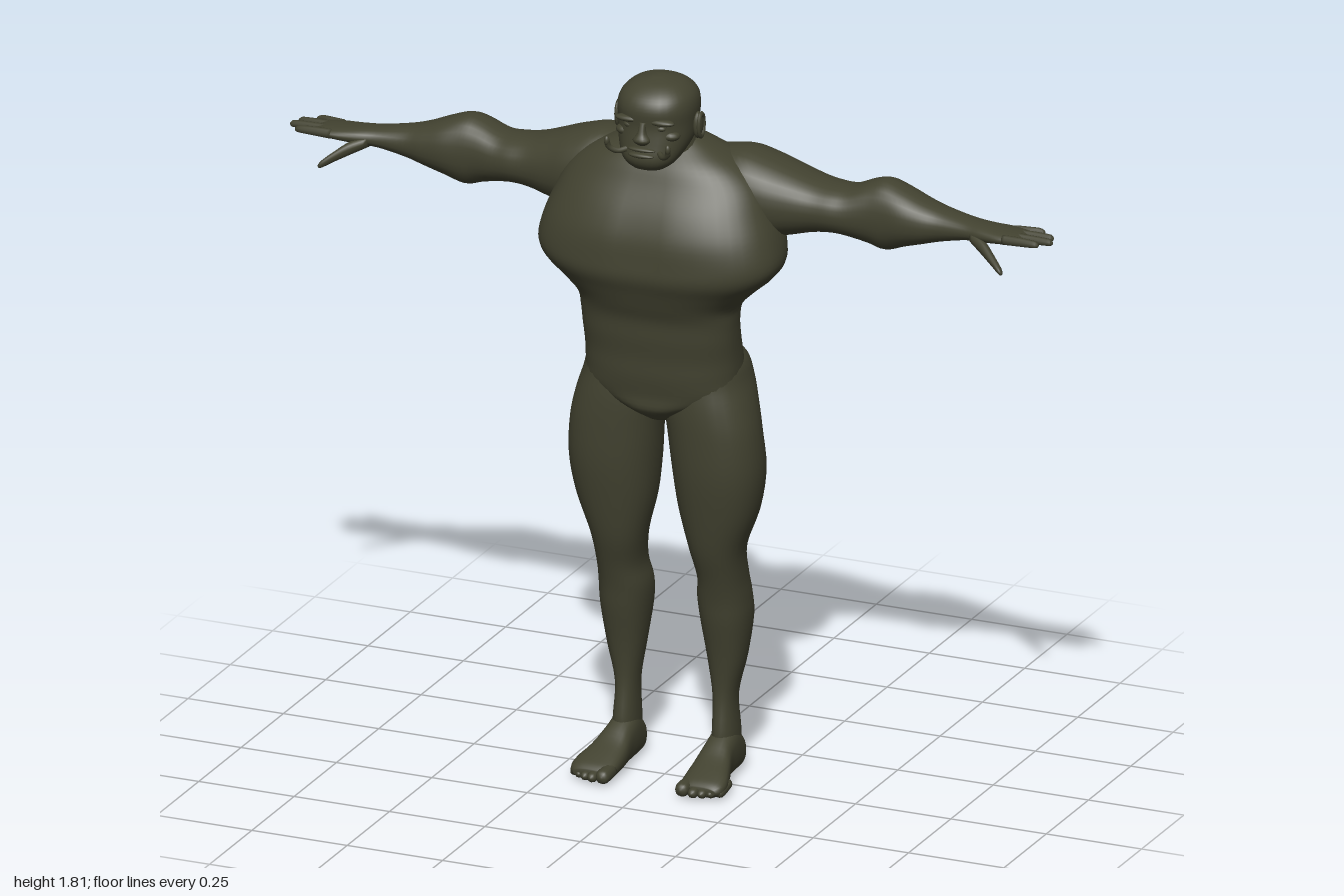
import * as THREE from 'three';

const skin = new THREE.MeshStandardMaterial({ color: 0x424230 });
skin.name = 'dark olive skin';

// Where each loft's (along, a, b) goes; a x b always points along the loft.
const UP = (t, a, b) => [b, t, a];      // along y, a = z, b = x
const SIDE = (t, a, b) => [t, a, b];    // along x, a = y, b = z
const FORWARD = (t, a, b) => [a, b, t]; // along z, a = x, b = y

// Smooth skin through sections [along, aMin, aMax, bMin, bMax].
function loft(sections, place, { seg = 24, steps = 4, power = 0.9, rule } = {}) {
  const at = i => sections[Math.max(0, Math.min(sections.length - 1, i))];
  const rings = [];
  for (let i = 0; i < sections.length - 1; i++) {
    for (let s = 0; s < steps; s++) {
      const u = s / steps;
      rings.push(at(i).map((p, k) => {
        const p0 = at(i - 1)[k], p2 = at(i + 1)[k], p3 = at(i + 2)[k];
        return p + 0.5 * u * (p2 - p0 + u * (2 * p0 - 5 * p + 4 * p2 - p3 + u * (3 * (p - p2) + p3 - p0)));
      }));
    }
  }
  rings.push(at(sections.length));
  const pos = [], index = [];
  const put = (t, a, b) => {
    const p = place(t, a, b);
    if (rule) rule(p);
    pos.push(...p);
  };
  const bend = v => Math.sign(v) * Math.abs(v) ** power;
  for (const [t, a0, a1, b0, b1] of rings) {
    for (let j = 0; j < seg; j++) {
      const w = (j / seg) * Math.PI * 2;
      put(t, (a0 + a1) / 2 + (a1 - a0) / 2 * bend(Math.cos(w)), (b0 + b1) / 2 + (b1 - b0) / 2 * bend(Math.sin(w)));
    }
  }
  const last = (rings.length - 1) * seg, c = rings.length * seg;
  for (let j = 0; j < seg; j++) {
    const k = (j + 1) % seg;
    for (let i = 0; i < last; i += seg) index.push(i + j, i + k, i + seg + k, i + j, i + seg + k, i + seg + j);
    index.push(c, k, j, c + 1, last + j, last + k);
  }
  for (const [t, a0, a1, b0, b1] of [rings[0], rings[rings.length - 1]]) put(t, (a0 + a1) / 2, (b0 + b1) / 2);
  const g = new THREE.BufferGeometry();
  g.setAttribute('position', new THREE.Float32BufferAttribute(pos, 3));
  g.setIndex(index);
  g.computeVertexNormals();
  return g;
}

// Section given by centre and radii.
const round = (t, a, b, ra, rb = ra) => [t, a - ra, a + ra, b - rb, b + rb];

function ellipsoid(x, y, z, rx, ry, rz) {
  return new THREE.SphereGeometry(1, 16, 12).scale(rx, ry, rz).translate(x, y, z);
}

function mirrored(geometry) {
  const g = geometry.clone().scale(-1, 1, 1), ix = g.index.array;
  for (let i = 0; i < ix.length; i += 3) [ix[i], ix[i + 1]] = [ix[i + 1], ix[i]];
  g.computeVertexNormals();
  return g;
}

export function createModel() {
  const model = new THREE.Group();
  model.name = 'muscular figure';
  const add = (name, g) => {
    const m = new THREE.Mesh(g, skin);
    m.name = name;
    model.add(m);
  };
  const pair = (name, g) => {
    add('left ' + name, g);
    add('right ' + name, mirrored(g));
  };

  // Torso, with a spine furrow and a shallow line between the chest muscles
  const torso = [
    [0.925, -0.02, 0.05, 0.03], [0.96, -0.08, 0.098, 0.09], [1.0, -0.112, 0.102, 0.19],
    [1.05, -0.118, 0.11, 0.197], [1.1, -0.108, 0.113, 0.197], [1.15, -0.088, 0.12, 0.198],
    [1.2, -0.075, 0.125, 0.2], [1.24, -0.09, 0.14, 0.207], [1.28, -0.105, 0.155, 0.245],
    [1.32, -0.122, 0.17, 0.29], [1.36, -0.145, 0.17, 0.312], [1.42, -0.165, 0.163, 0.302],
    [1.48, -0.172, 0.14, 0.28], [1.54, -0.155, 0.105, 0.25], [1.585, -0.135, 0.08, 0.2],
    [1.62, -0.105, 0.05, 0.13], [1.65, -0.07, 0.02, 0.07]
  ].map(([y, z0, z1, r]) => [y, z0, z1, -r, r]);
  add('torso', loft(torso, UP, {
    seg: 48, power: 0.82,
    rule: p => {
      const line = Math.exp(-((p[0] / 0.035) ** 2)), high = Math.exp(-(((p[1] - 1.42) / 0.12) ** 2));
      p[2] += p[2] < 0 ? line * (0.005 + 0.013 * high) : -0.006 * line * high;
    }
  }));

  // Neck and head
  add('neck', loft([
    [1.5, -0.13, 0.05, -0.12, 0.12], [1.58, -0.11, 0.06, -0.1, 0.1],
    [1.64, -0.06, 0.07, -0.082, 0.082], [1.7, -0.045, 0.06, -0.07, 0.07]
  ], UP));
  add('head', loft([
    [1.592, 0.06, 0.125, 0.04], [1.605, 0.03, 0.138, 0.06], [1.625, 0, 0.144, 0.075],
    [1.66, -0.045, 0.138, 0.09], [1.7, -0.063, 0.132, 0.095], [1.74, -0.069, 0.134, 0.097],
    [1.77, -0.06, 0.12, 0.087], [1.793, -0.03, 0.087, 0.058], [1.805, 0.015, 0.045, 0.012]
  ].map(([y, z0, z1, r]) => [y, z0, z1, -r, r]), UP, { seg: 32 }));
  add('nose', loft([
    round(1.66, 0.132, 0, 0.012, 0.012), round(1.672, 0.137, 0, 0.017, 0.022),
    round(1.69, 0.134, 0, 0.013, 0.011), round(1.715, 0.13, 0, 0.008, 0.008)
  ], UP, { seg: 14 }));
  add('upper lip', ellipsoid(0, 1.648, 0.137, 0.036, 0.006, 0.011));
  add('lower lip', ellipsoid(0, 1.634, 0.14, 0.034, 0.007, 0.012));
  pair('brow', ellipsoid(0.042, 1.717, 0.118, 0.036, 0.009, 0.016));
  pair('eye', ellipsoid(0.04, 1.701, 0.117, 0.015, 0.008, 0.01));
  pair('cheek', ellipsoid(0.058, 1.68, 0.098, 0.025, 0.014, 0.022));
  pair('ear', ellipsoid(0.1, 1.69, 0.028, 0.011, 0.034, 0.02).rotateX(0));
  pair('ear rim', new THREE.TorusGeometry(0.02, 0.005, 8, 20)
    .scale(0.8, 1.4, 1).rotateY(Math.PI / 2).translate(0.108, 1.69, 0.028));

  // Small curled tusks beside the mouth
  const tuskPath = new THREE.CatmullRomCurve3([
    [0.04, 1.642, 0.125], [0.06, 1.64, 0.147], [0.077, 1.652, 0.157], [0.08, 1.668, 0.163]
  ].map(p => new THREE.Vector3(...p)));
  pair('tusk', new THREE.TubeGeometry(tuskPath, 14, 0.007, 8));
  pair('tusk tip', ellipsoid(0.08, 1.668, 0.163, 0.007, 0.012, 0.007));

  // Arm from shoulder through palm
  pair('arm', loft([
    [0.08, 1.45, 1.6, -0.15, 0], [0.18, 1.41, 1.615, -0.175, 0.03], [0.25, 1.4, 1.6, -0.18, 0.03],
    [0.31, 1.41, 1.578, -0.176, 0.015], [0.37, 1.425, 1.557, -0.17, 0], [0.42, 1.43, 1.55, -0.165, -0.005],
    [0.46, 1.425, 1.552, -0.16, -0.012], [0.51, 1.413, 1.572, -0.16, -0.018], [0.55, 1.403, 1.58, -0.157, -0.018],
    [0.6, 1.42, 1.565, -0.152, -0.015], [0.65, 1.435, 1.545, -0.142, -0.02], [0.7, 1.45, 1.53, -0.13, -0.028],
    [0.77, 1.468, 1.52, -0.11, -0.025], [0.82, 1.475, 1.518, -0.1, -0.012], [0.87, 1.482, 1.515, -0.1, -0.003],
    [0.91, 1.487, 1.512, -0.094, -0.005], [0.925, 1.493, 1.507, -0.08, -0.015]
  ], SIDE, { seg: 28 }));

  // Fingers: [root z, tip z, tip x]
  [[-0.085, -0.097, 0.955], [-0.062, -0.068, 0.99], [-0.038, -0.04, 1], [-0.014, -0.012, 0.975]]
    .forEach(([z0, z1, x], i) => pair('finger ' + (i + 1), loft([
      round(0.88, 1.5, z0, 0.012), round(0.92, 1.501, (z0 + z1) / 2, 0.011),
      round(x - 0.015, 1.501, z1, 0.009), round(x - 0.004, 1.5, z1, 0.006), round(x, 1.5, z1, 0.001)
    ], SIDE, { seg: 10 })));
  pair('thumb', loft([
    round(0.79, 1.488, -0.035, 0.014, 0.018), round(0.83, 1.472, -0.012, 0.017),
    round(0.865, 1.451, 0.01, 0.013), round(0.89, 1.434, 0.025, 0.009), round(0.897, 1.43, 0.028, 0.002)
  ], SIDE, { seg: 12 }));

  // Leg from buttock to ankle
  pair('leg', loft([
    [0.04, -0.12, -0.03, 0.102, 0.158], [0.1, -0.125, -0.02, 0.1, 0.16], [0.2, -0.115, -0.03, 0.1, 0.156],
    [0.3, -0.13, -0.02, 0.085, 0.178], [0.4, -0.147, 0, 0.07, 0.192], [0.46, -0.14, 0.01, 0.066, 0.192],
    [0.52, -0.12, 0.025, 0.073, 0.19], [0.6, -0.097, 0.05, 0.06, 0.197], [0.7, -0.115, 0.07, 0.036, 0.232],
    [0.8, -0.12, 0.085, 0.023, 0.248], [0.9, -0.11, 0.09, 0.013, 0.242], [0.97, -0.122, 0.09, 0.002, 0.228],
    [1.03, -0.138, 0.085, 0.004, 0.21], [1.08, -0.125, 0.08, 0.012, 0.195], [1.13, -0.08, 0.05, 0.04, 0.16]
  ], UP, { seg: 28 }));

  // Foot and toes
  pair('foot', loft([
    [-0.132, 0.115, 0.145, 0.02, 0.05], [-0.12, 0.1, 0.16, 0.004, 0.085], [-0.07, 0.094, 0.166, 0, 0.12],
    [-0.02, 0.092, 0.17, 0, 0.105], [0.03, 0.087, 0.185, 0, 0.075], [0.08, 0.086, 0.2, 0, 0.055],
    [0.11, 0.09, 0.198, 0.002, 0.042], [0.125, 0.1, 0.185, 0.01, 0.03]
  ], FORWARD, { power: 0.8 }));
  [[0.104, 0.147, 0.018], [0.132, 0.145, 0.013], [0.153, 0.138, 0.012], [0.172, 0.128, 0.012], [0.19, 0.116, 0.012]]
    .forEach(([x, z, r], i) => pair('toe ' + (i + 1), loft([
      round(z - 0.06, x, 0.024, r), round(z - 0.02, x, r + 0.004, r),
      round(z - 0.006, x, r + 0.003, r * 0.75), round(z, x, r + 0.003, r * 0.15)
    ], FORWARD, { seg: 12 })));

  return model;
}
